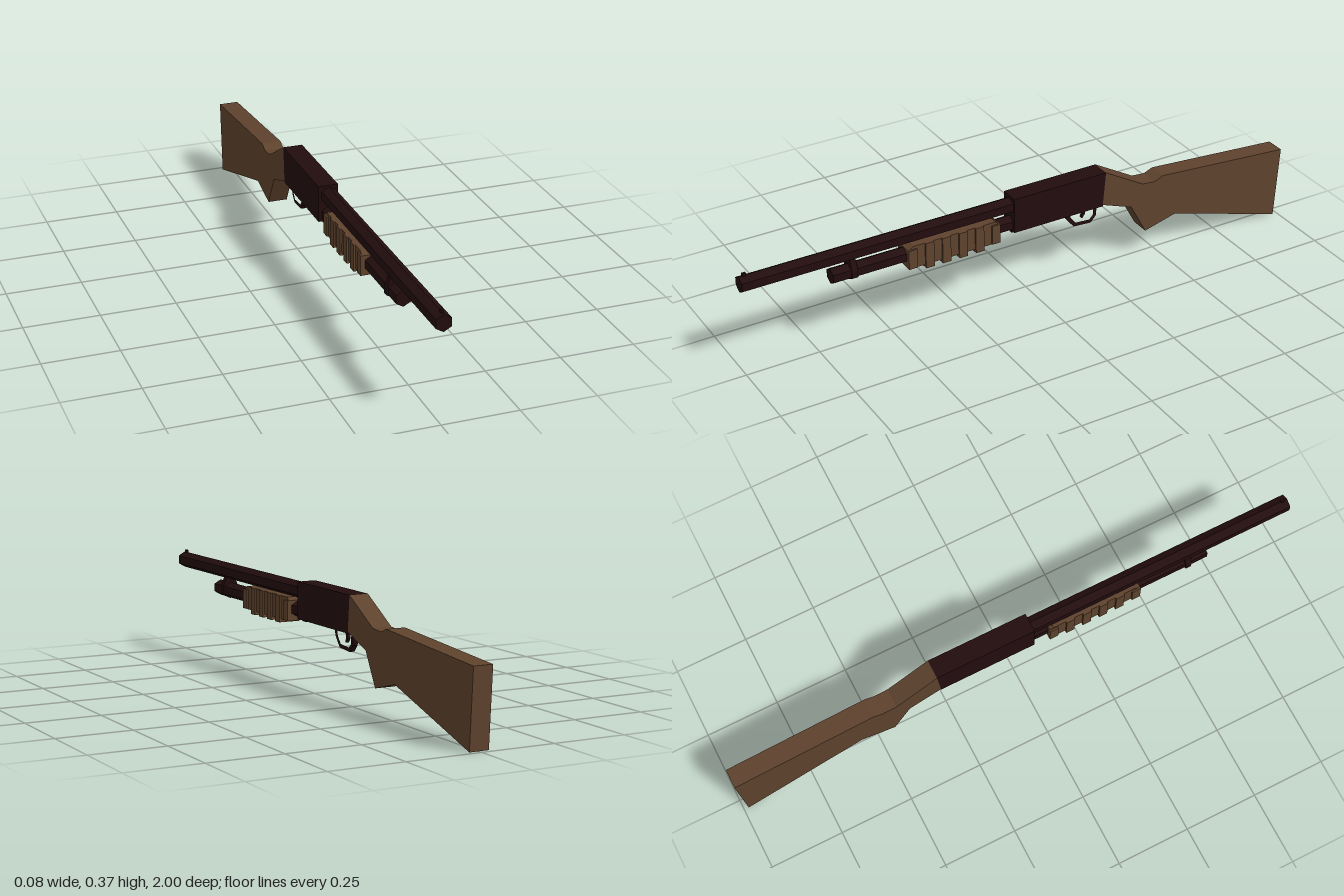
import * as THREE from 'three';

const OFFSET = -0.002; // receiver and stock sit slightly off the centre line

export function createModel() {
  const model = new THREE.Group();
  const metal = new THREE.MeshStandardMaterial({ color: 0x220c0e, flatShading: true });
  metal.name = 'dark metal';
  const wood = new THREE.MeshStandardMaterial({ color: 0x5e422d, flatShading: true });
  wood.name = 'brown wood';

  const add = (name, geometry, material, x = 0, y = 0, z = 0) => {
    const mesh = new THREE.Mesh(geometry, material);
    mesh.name = name;
    mesh.position.set(x, y, z);
    model.add(mesh);
    return mesh;
  };

  // Side profile given as [z, y] points, extruded across x
  const profile = (points, width, hole) => {
    const toVectors = (list) => list.map(([z, y]) => new THREE.Vector2(z, y));
    const shape = new THREE.Shape(toVectors(points));
    if (hole) shape.holes.push(new THREE.Path(toVectors(hole)));
    const geometry = new THREE.ExtrudeGeometry(shape, { depth: width, bevelEnabled: false });
    return geometry.translate(0, 0, -width / 2).rotateY(-Math.PI / 2);
  };

  // Six-sided tube running along z with a corner at the top
  const hexTube = (name, radius, y, z0, z1) => add(
    name, new THREE.CylinderGeometry(radius, radius, z1 - z0, 6).rotateX(Math.PI / 2),
    metal, 0, y, (z0 + z1) / 2);

  const block = (name, material, w, y0, y1, z0, z1, x = 0) => add(
    name, new THREE.BoxGeometry(w, y1 - y0, z1 - z0), material, x, (y0 + y1) / 2, (z0 + z1) / 2);

  // Barrel, magazine tube and front sight
  hexTube('barrel', 0.028, 0.33, 0.04, 1);
  hexTube('magazineTube', 0.027, 0.264, 0.04, 0.7);
  block('frontSight', metal, 0.008, 0.35, 0.366, 0.976, 0.988);

  // Band joining barrel and magazine tube
  const bandShape = new THREE.Shape([
    [-0.015, 0.31], [-0.029, 0.275], [-0.029, 0.25], [0, 0.235],
    [0.029, 0.25], [0.029, 0.275], [0.015, 0.31],
  ].map(([x, y]) => new THREE.Vector2(x, y)));
  add('barrelBand', new THREE.ExtrudeGeometry(bandShape, { depth: 0.02, bevelEnabled: false }),
    metal, 0, 0, 0.618);

  // Receiver with a slanted rear
  add('receiver', profile([
    [0.06, 0.24], [0.06, 0.363], [-0.286, 0.363], [-0.276, 0.24],
  ], 0.066), metal, OFFSET);
  block('receiverLug', metal, 0.03, 0.232, 0.25, 0.032, 0.06, OFFSET);

  // Stock
  add('stock', profile([
    [-0.286, 0.363], [-0.432, 0.279], [-0.48, 0.275], [-0.512, 0.288], [-1, 0.252],
    [-0.984, 0], [-0.566, 0.126], [-0.448, 0.095], [-0.389, 0.203], [-0.276, 0.245],
  ], 0.066), wood, OFFSET);

  // Ribbed pump grip
  add('pumpGrip', profile([
    [0.445, 0.23], [0.445, 0.29], [0.425, 0.303], [0.13, 0.303], [0.115, 0.29], [0.115, 0.23],
    [0.13, 0.224], [0.43, 0.224],
  ], 0.064), wood);
  for (let i = 0; i < 6; i++) {
    const z = 0.13 + i * 0.06;
    const end = i === 0 || i === 5;
    block('pumpGripRib', wood, 0.076, end ? 0.226 : 0.213, end ? 0.293 : 0.303, z - 0.015, z + 0.015);
  }

  // Trigger guard and trigger
  add('triggerGuard', profile([
    [-0.147, 0.246], [-0.152, 0.215], [-0.18, 0.18], [-0.245, 0.175], [-0.266, 0.198], [-0.268, 0.246],
  ], 0.017, [
    [-0.163, 0.238], [-0.168, 0.215], [-0.187, 0.192], [-0.24, 0.188], [-0.254, 0.203], [-0.255, 0.238],
  ]), metal, OFFSET);
  add('trigger', profile([
    [-0.206, 0.245], [-0.222, 0.245], [-0.226, 0.215], [-0.216, 0.2], [-0.21, 0.202], [-0.216, 0.217],
  ], 0.01), metal, OFFSET);

  return model;
}
